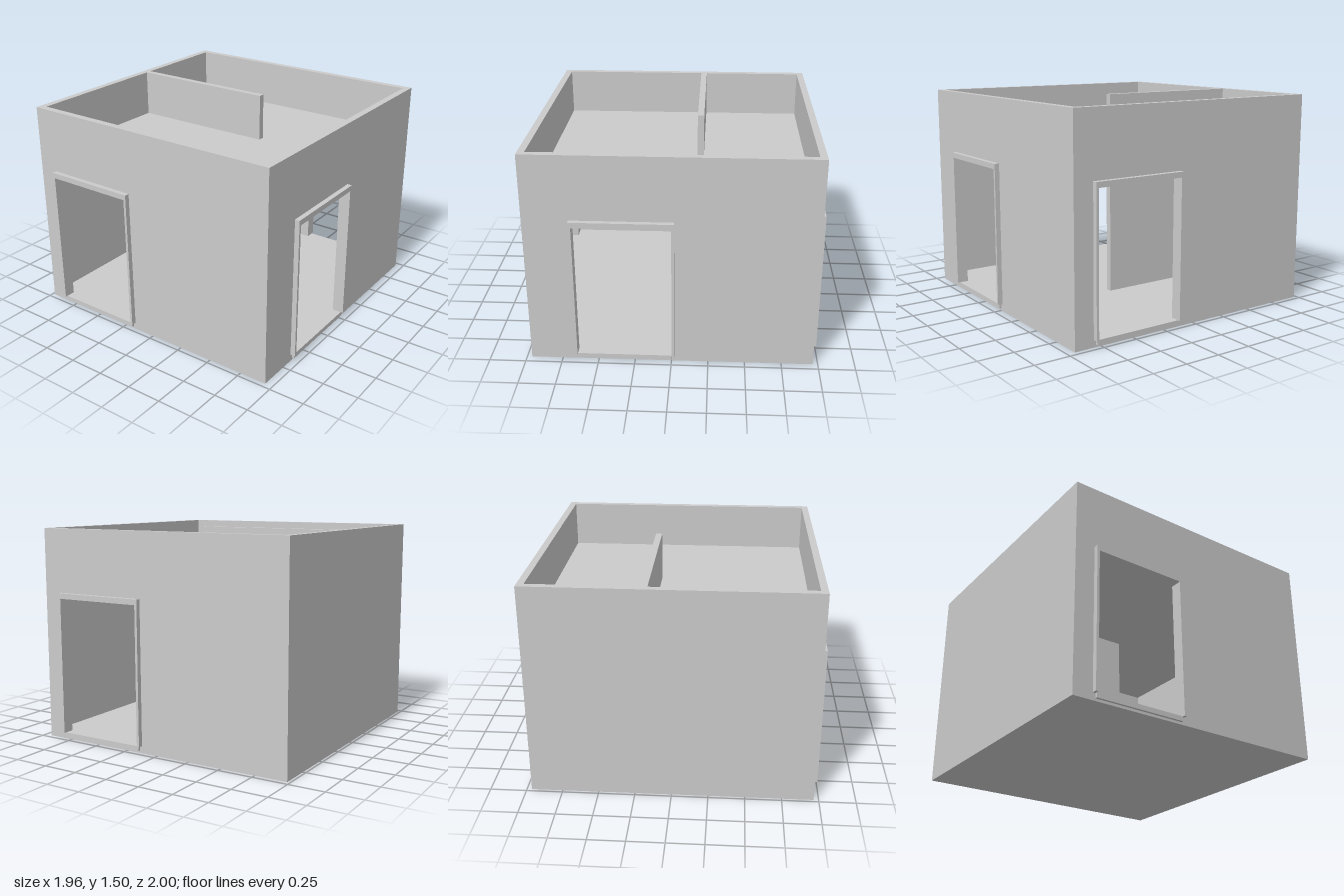
import * as THREE from 'three';

const material = new THREE.MeshStandardMaterial({ color: 0xcccccc, flatShading: true });

// House plan: centre x, half extents, wall height and thickness
const CX = -0.0175, HX = 0.9625, HZ = 0.966, H = 1.5, T = 0.048;
// Door opening
const DOOR_W = 0.645, SILL_Y = 0.05, DOOR_TOP = 1.015;

function box(name, x0, x1, y0, y1, z0, z1) {
  const mesh = new THREE.Mesh(new THREE.BoxGeometry(x1 - x0, y1 - y0, z1 - z0), material);
  mesh.position.set((x0 + x1) / 2, (y0 + y1) / 2, (z0 + z1) / 2);
  mesh.name = name;
  return mesh;
}

// Wall in its own frame: outer face at z = 0, outside towards +z
function wall(name, length, doorX) {
  const group = new THREE.Group();
  group.name = name;
  const h = length / 2;
  const shape = new THREE.Shape([[-h, 0], [h, 0], [h, H], [-h, H]].map(p => new THREE.Vector2(...p)));
  const hasDoor = doorX !== undefined;
  if (hasDoor) {
    const a = doorX - DOOR_W / 2, b = doorX + DOOR_W / 2;
    shape.holes.push(new THREE.Path(
      [[a, SILL_Y], [a, DOOR_TOP], [b, DOOR_TOP], [b, SILL_Y]].map(p => new THREE.Vector2(...p))));
    // Raised door surround and a low threshold
    const trim = 0.018, out = 0.034;
    group.add(
      box('doorFrameSide', a - trim, a, SILL_Y, DOOR_TOP, 0, out),
      box('doorFrameSide', b, b + trim, SILL_Y, DOOR_TOP, 0, out),
      box('doorFrameTop', a - trim, b + trim, DOOR_TOP, 1.053, 0, out),
      box('doorThreshold', a, b, 0.017, SILL_Y, 0, 0.017));
  }
  const geometry = new THREE.ExtrudeGeometry(shape, { depth: T, bevelEnabled: false });
  geometry.translate(0, 0, -T);
  const panel = new THREE.Mesh(geometry, material);
  panel.name = name + 'Panel';
  group.add(panel);
  return group;
}

export function createModel() {
  const model = new THREE.Group();
  model.name = 'house';

  // Outer walls: name, length, door centre, turn, position
  const sideLength = 2 * (HZ - T);
  const walls = [
    ['frontWall', 2 * HX, -0.4825, 0, CX, HZ],
    ['backWall', 2 * HX, -0.4825, Math.PI, CX, -HZ],
    ['leftWall', sideLength, -0.32, Math.PI / 2, CX + HX, 0],
    ['rightWall', sideLength, undefined, -Math.PI / 2, CX - HX, 0],
  ];
  for (const [name, length, doorX, turn, x, z] of walls) {
    const w = wall(name, length, doorX);
    w.rotation.y = turn;
    w.position.set(x, 0, z);
    model.add(w);
  }

  // Floor, upper slab and the partition that passes through it
  const x0 = CX - HX + T, x1 = CX + HX - T, z1 = HZ - T;
  model.add(
    box('floor', x0, x1, 0, SILL_Y, -z1, z1),
    box('upperSlab', x0, x1, 1.12, 1.165, -z1, z1),
    box('partition', x0, 0.14, SILL_Y, H, -0.19, -0.145));
  return model;
}
